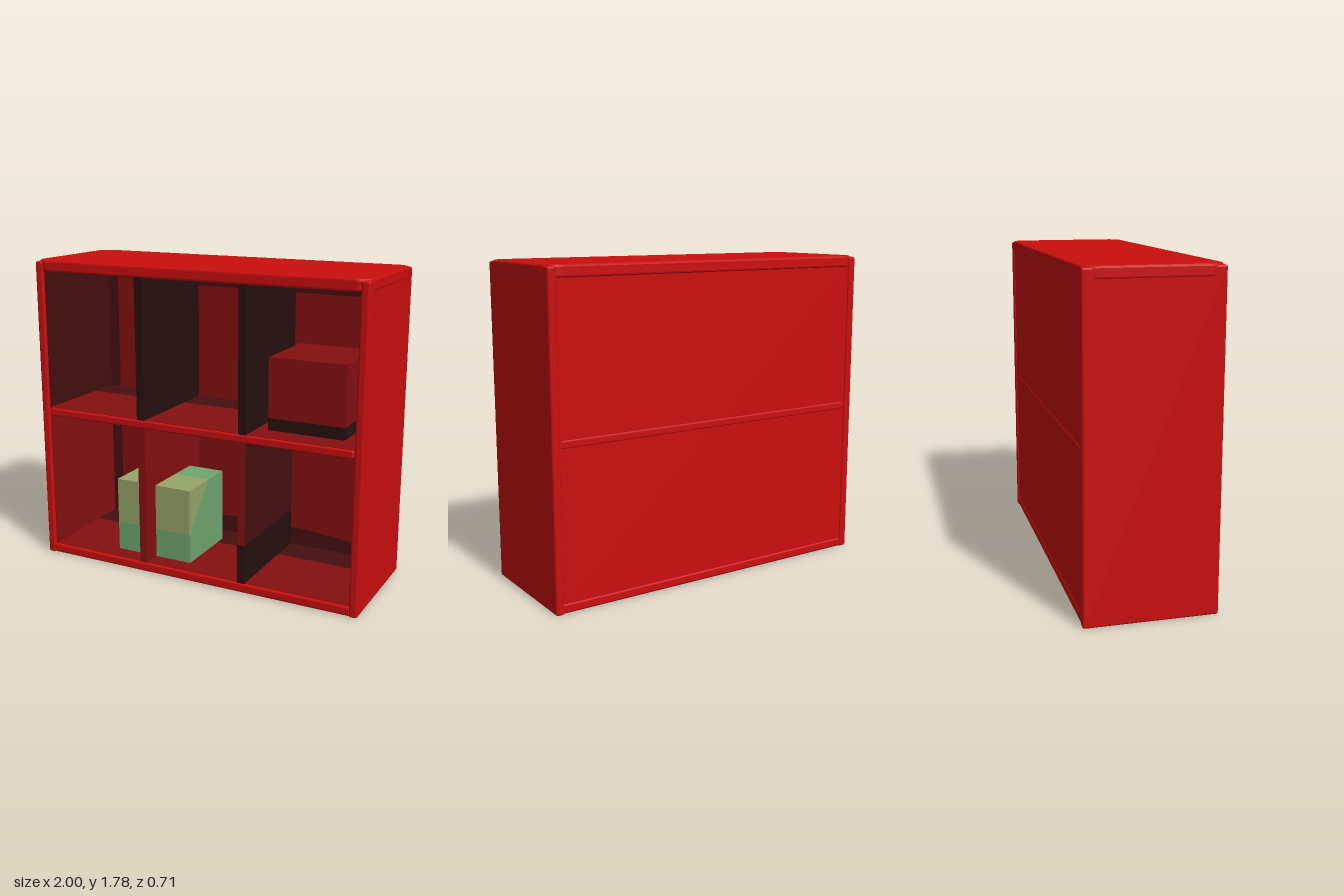
import * as THREE from 'three';
import { RoundedBoxGeometry } from 'three/addons/geometries/RoundedBoxGeometry.js';

export function createModel() {
  const group = new THREE.Group();
  const mat = (name, color, side = THREE.FrontSide) => {
    const m = new THREE.MeshStandardMaterial({ color, side });
    m.name = name;
    return m;
  };
  const red = mat('bright red', 0xcb0e0e);
  const inner = mat('inner red', 0x850f0f);
  const dark = mat('dark red', 0x450f10);
  const black = mat('near black red', 0x261010);
  const olive = mat('olive', 0x96a56b);
  const green = mat('green', 0x70a670);

  const add = (name, geometry, material, x = 0, y = 0, z = 0) => {
    const m = new THREE.Mesh(geometry, material);
    m.name = name;
    m.position.set(x, y, z);
    group.add(m);
    return m;
  };
  // box given by its limits on each axis
  const box = (name, material, [x0, x1], [y0, y1], [z0, z1], round = 0) => {
    const s = [x1 - x0, y1 - y0, z1 - z0];
    const g = round ? new RoundedBoxGeometry(...s, 2, round) : new THREE.BoxGeometry(...s);
    return add(name, g, material, (x0 + x1) / 2, (y0 + y1) / 2, (z0 + z1) / 2);
  };

  // outer case: side walls, base, rounded top
  for (const s of [-1, 1]) {
    const x = s > 0 ? [0.947, 0.994] : [-0.994, -0.947];
    box(s > 0 ? 'leftSide' : 'rightSide', red, x, [0, 1.772], [-0.355, 0.355], 0.012);
    // inner wall linings
    const lx = s > 0 ? [0.943, 0.947] : [-0.947, -0.943];
    box('lowerWallLining', inner, lx, [0.05, 0.88], [-0.31, 0.335]);
    box('upperWallLining', dark, lx, [0.9, 1.72], [-0.31, 0.335]);
  }
  box('base', red, [-0.955, 0.955], [0.002, 0.055], [-0.35, 0.35], 0.012);

  const r = 0.07, w = 0.985, d = 0.342;
  const top = new THREE.Shape();
  top.absarc(w - r, d - r, r, 0, Math.PI / 2);
  top.absarc(-w + r, d - r, r, Math.PI / 2, Math.PI);
  top.absarc(-w + r, -d + r, r, Math.PI, Math.PI * 1.5);
  top.absarc(w - r, -d + r, r, Math.PI * 1.5, Math.PI * 2);
  const topGeo = new THREE.ExtrudeGeometry(top, {
    depth: 0.041, bevelThickness: 0.012, bevelSize: 0.013, bevelSegments: 3, curveSegments: 8,
  });
  topGeo.rotateX(-Math.PI / 2);
  add('top', topGeo, red, 0, 1.727, 0);
  box('ceilingLining', dark, [-0.945, 0.945], [1.711, 1.715], [-0.31, 0.33]);

  // back panel with its paler inside field
  box('backPanel', [red, red, red, red, dark, red], [-0.95, 0.95], [0.04, 1.73], [-0.345, -0.31]);
  const field = new THREE.Shape();
  field.moveTo(-0.87, 1.63);
  field.quadraticCurveTo(-0.87, 1.655, -0.84, 1.65);
  field.lineTo(-0.36, 1.6);
  field.lineTo(0.79, 1.595);
  field.quadraticCurveTo(0.83, 1.59, 0.84, 1.54);
  field.quadraticCurveTo(0.87, 1.48, 0.87, 1.4);
  field.lineTo(0.875, 0.16);
  field.quadraticCurveTo(0.875, 0.13, 0.84, 0.13);
  field.lineTo(0.4, 0.165);
  field.lineTo(-0.82, 0.165);
  field.quadraticCurveTo(-0.85, 0.17, -0.87, 0.32);
  add('backField', new THREE.ShapeGeometry(field), inner, 0, 0, -0.307);

  // middle shelf
  box('shelf', red, [-0.94, 0.94], [0.87, 0.915], [-0.349, 0.35], 0.01);
  box('shelfUnderside', dark, [-0.943, 0.943], [0.867, 0.87], [-0.31, 0.335]);

  // shelf and floor linings, darker toward the back
  for (const y of [0.055, 0.915]) {
    box('floorLining', inner, [-0.944, 0.944], [y - 0.002, y + 0.002], [-0.12, 0.335]);
    box('floorShade', dark, [-0.944, 0.944], [y - 0.002, y + 0.002], [-0.31, -0.12]);
  }

  // dividers
  const z = [-0.31, 0.343];
  for (const x of [[-0.344, -0.296], [0.289, 0.336]]) {
    box('upperDivider', black, x, [0.915, 1.715], z);
  }
  box('lowerDivider', inner, [-0.341, -0.296], [0.055, 0.87], z);
  box('lowerDivider', [dark, inner, inner, inner, inner, inner], [0.289, 0.334], [0.28, 0.87], z);
  box('lowerDividerFoot', [black, inner, dark, dark, black, dark], [0.289, 0.334], [0.055, 0.28], z);

  // two-colour block, both sections swept along x from a side profile
  const sweep = (name, material, points, x0, x1) => {
    const shape = new THREE.Shape(points.map(([pz, py]) => new THREE.Vector2(pz, py)));
    const g = new THREE.ExtrudeGeometry(shape, { depth: x1 - x0, bevelEnabled: false });
    g.rotateY(-Math.PI / 2);
    add(name, g, material, x1, 0, 0);
  };
  sweep('blockFront', olive, [[0.235, 0.23], [0.235, 0.5], [0.0, 0.5]], -0.555, -0.07);
  sweep('blockBody', green,
    [[-0.18, 0.057], [0.235, 0.057], [0.235, 0.23], [0.0, 0.5], [-0.18, 0.5]], -0.555, -0.07);

  // red crate on the upper shelf
  box('crate', inner, [0.4, 0.84], [0.985, 1.32], [-0.24, 0.2]);
  box('crateFoot', black, [0.4, 0.84], [0.917, 0.985], [-0.24, 0.2]);

  return group;
}
